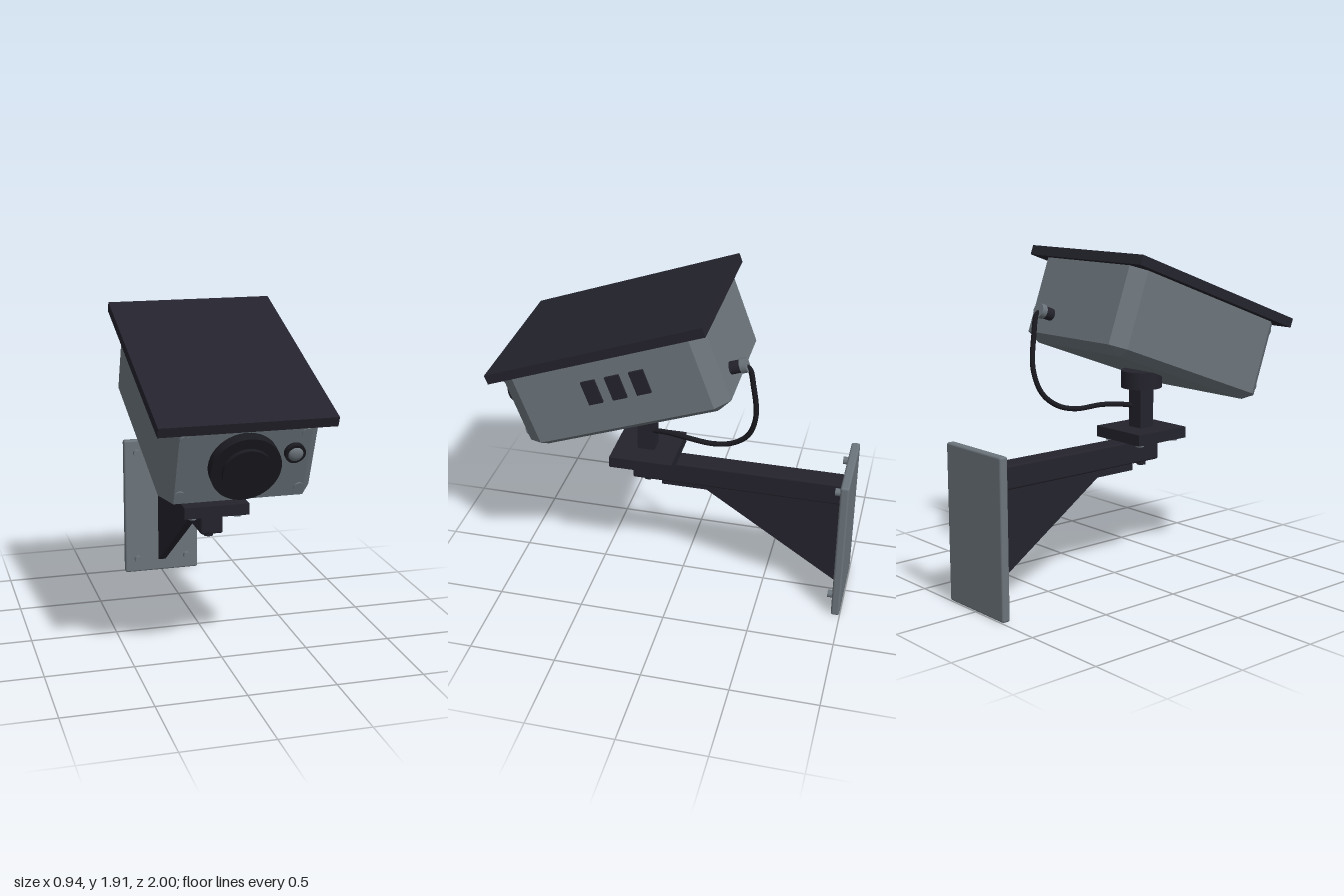
import * as THREE from 'three';
import { ConvexGeometry } from 'three/addons/geometries/ConvexGeometry.js';
import { RoundedBoxGeometry } from 'three/addons/geometries/RoundedBoxGeometry.js';

function material(name, color) {
  const m = new THREE.MeshStandardMaterial({ color });
  m.name = name;
  return m;
}

export function createModel() {
  const dark = material('dark paint', 0x24232d);
  const black = material('black lens', 0x1a1a21);
  const grey = material('grey metal', 0x6c757c);

  const root = new THREE.Group();
  root.name = 'wallCamera';

  function add(parent, name, geometry, mat, x = 0, y = 0, z = 0) {
    const mesh = new THREE.Mesh(geometry, mat);
    mesh.name = name;
    mesh.position.set(x, y, z);
    parent.add(mesh);
    return mesh;
  }
  const box = (w, h, d) => new THREE.BoxGeometry(w, h, d);
  const bevelBox = (w, h, d, r) => new RoundedBoxGeometry(w, h, d, 2, r);
  const cylY = (r, h, n = 32) => new THREE.CylinderGeometry(r, r, h, n);
  const cylZ = (r, d, n = 32) => cylY(r, d, n).rotateX(Math.PI / 2);

  // Wall plate with four bolts
  add(root, 'wallPlate', bevelBox(0.49, 0.9, 0.05, 0.012), grey, 0, 0.457, -0.973);
  for (const x of [-0.165, 0.165])
    for (const y of [0.1, 0.825])
      add(root, 'wallBolt', cylZ(0.022, 0.035, 12), grey, x, y, -0.932);

  // Arm and its triangular brace
  add(root, 'arm', bevelBox(0.13, 0.135, 1.235, 0.012), dark, 0, 0.733, -0.328);
  const triangle = new THREE.Shape([
    new THREE.Vector2(0.95, 0.08),
    new THREE.Vector2(0.95, 0.67),
    new THREE.Vector2(0.07, 0.67),
  ]);
  const gusset = new THREE.ExtrudeGeometry(triangle, { depth: 0.048, bevelEnabled: false });
  gusset.translate(0, 0, -0.024).rotateY(Math.PI / 2);
  add(root, 'gusset', gusset, dark);
  add(root, 'braceBar', box(0.036, 0.035, 1.07), dark, 0, 0.632, -0.41);
  add(root, 'armBolt', cylY(0.028, 0.035, 6), dark, 0, 0.652, 0.21);

  // Swivel mount
  add(root, 'mountPlate', box(0.37, 0.065, 0.37), dark, 0, 0.832, 0.21);
  for (const x of [-0.13, 0.13])
    for (const z of [0.08, 0.345])
      add(root, 'mountBolt', cylY(0.025, 0.02, 12), grey, x, 0.793, z);
  add(root, 'post', box(0.1, 0.27, 0.1), dark, 0, 0.985, 0.21);
  add(root, 'swivelHead', cylY(0.12, 0.1), dark, 0, 1.15, 0.21);

  // Camera head, tilted nose down
  const head = new THREE.Group();
  head.name = 'cameraHead';
  head.rotation.x = THREE.MathUtils.degToRad(20);
  root.add(head);

  // Housing: eight-sided plan that narrows at the underside
  const ring = (y, w, back, front, cx, cz) => [-1, 1].flatMap((s) => [
    new THREE.Vector3(s * (w - cx), y, front),
    new THREE.Vector3(s * w, y, front - cz),
    new THREE.Vector3(s * w, y, back + cz),
    new THREE.Vector3(s * (w - cx), y, back),
  ]);
  const housing = new ConvexGeometry([
    ...ring(1.68, 0.41, -0.82, 0.4, 0.062, 0.085),
    ...ring(1.237, 0.41, -0.82, 0.4, 0.062, 0.085),
    ...ring(1.193, 0.35, -0.735, 0.315, 0.01, 0.01),
  ]);
  add(head, 'housing', housing, grey);
  add(head, 'sunshield', box(0.94, 0.055, 1.285), dark, 0, 1.703, -0.213);

  // Lens and sensor
  add(head, 'lensRing', cylZ(0.187, 0.065, 48), black, 0, 1.465, 0.427);
  add(head, 'lensFront', cylZ(0.13, 0.06, 48), black, 0, 1.465, 0.453);
  add(head, 'sensorRing', cylZ(0.055, 0.035), black, 0.265, 1.518, 0.41);
  const dome = new THREE.SphereGeometry(0.04, 24, 8, 0, Math.PI * 2, 0, Math.PI / 2);
  dome.rotateX(Math.PI / 2).scale(1, 1, 0.5);
  add(head, 'sensorDome', dome, grey, 0.265, 1.518, 0.4276);

  // Face screws
  for (const x of [-0.32, 0.32])
    for (const y of [1.29, 1.63])
      add(head, 'faceScrew', cylZ(0.027, 0.012, 16), grey, x, y, 0.402);

  // Side vents, on one side only
  for (const z of [-0.109, -0.253, -0.396])
    add(head, 'sideVent', box(0.03, 0.14, 0.083), dark, 0.41, 1.48, z);

  // Cable gland on the rear face
  add(head, 'glandBase', cylZ(0.036, 0.075, 16), dark, 0.19, 1.35, -0.85);
  add(head, 'glandCap', cylZ(0.042, 0.035, 16), grey, 0.19, 1.35, -0.898);

  // Cable looping back to the post
  const path = new THREE.CatmullRomCurve3([
    [0.19, 1.573, -0.375], [0.19, 1.56, -0.41], [0.185, 1.45, -0.435],
    [0.175, 1.26, -0.452], [0.155, 1.12, -0.41], [0.135, 1.04, -0.32],
    [0.115, 1.005, -0.2], [0.09, 1.01, -0.02], [0.06, 1.005, 0.08], [0.035, 0.99, 0.17],
  ].map((p) => new THREE.Vector3(...p)));
  add(root, 'cable', new THREE.TubeGeometry(path, 64, 0.015, 10), black);

  return root;
}
